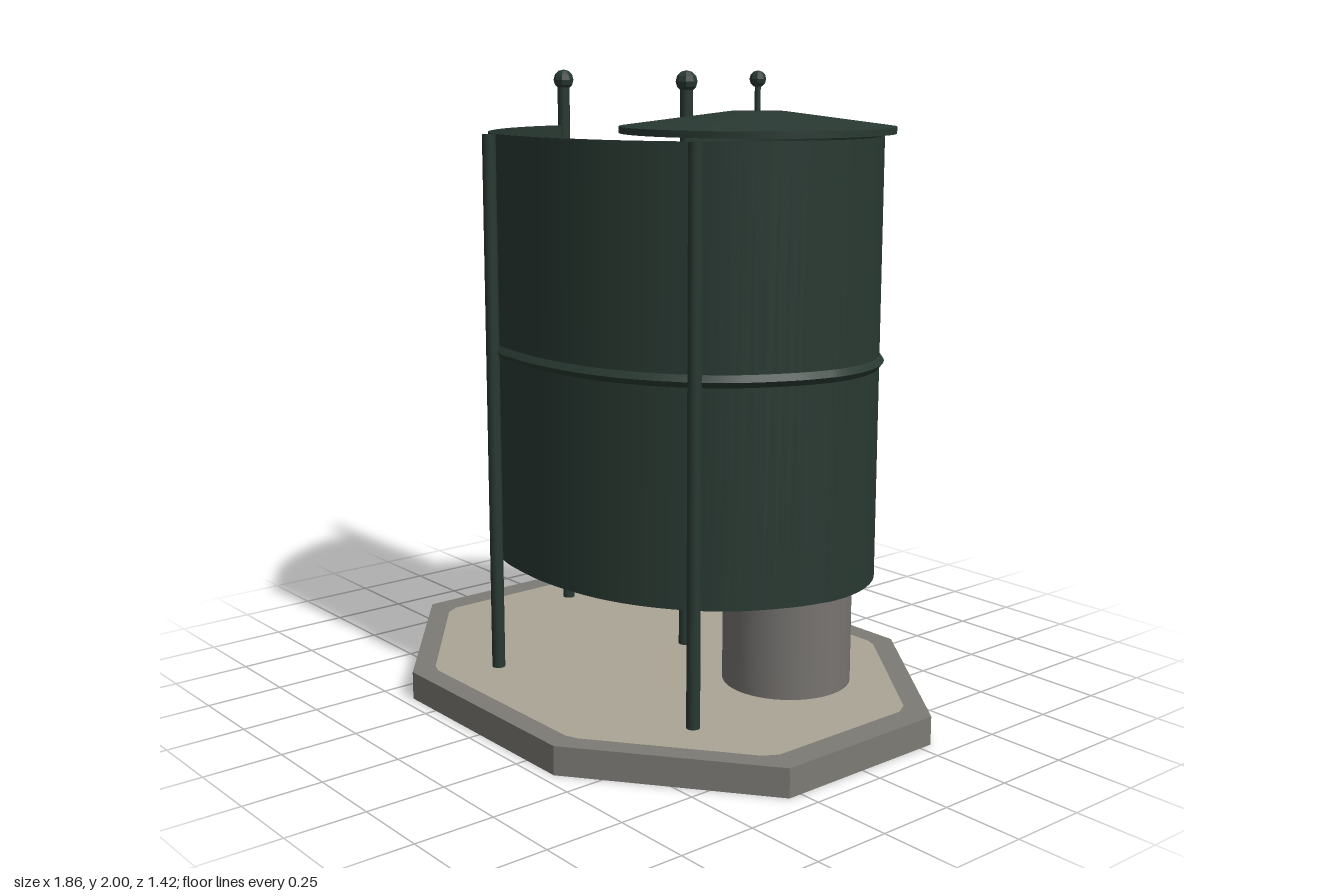
import * as THREE from 'three';

export function createModel() {
  const root = new THREE.Group();
  const material = (name, color, side = THREE.FrontSide) => {
    const m = new THREE.MeshStandardMaterial({ color, side });
    m.name = name;
    return m;
  };
  const green = material('dark green paint', 0x293932);
  const curbGrey = material('curb grey', 0x7d7b75, THREE.DoubleSide);
  const paving = material('tan paving', 0xaba597, THREE.DoubleSide);
  const pillarGrey = material('pillar grey', 0x777471);

  const add = (name, geometry, mat, x = 0, y = 0, z = 0) => {
    const mesh = new THREE.Mesh(geometry, mat);
    mesh.name = name;
    mesh.position.set(x, y, z);
    root.add(mesh);
    return mesh;
  };

  // Octagonal base, hollow underneath: upright sides, a curb ring and the paving
  const V = (x, y) => new THREE.Vector2(x, y);
  const mirrored = (quarter) => [
    ...quarter.map(([x, y]) => V(x, y)),
    ...quarter.map(([x, y]) => V(-x, y)).reverse(),
    ...quarter.map(([x, y]) => V(-x, -y)),
    ...quarter.map(([x, y]) => V(x, -y)).reverse(),
  ];
  const baseHeight = 0.09;
  const outer = mirrored([[0.932, 0.295], [0.385, 0.712]]);
  const inner = mirrored([[0.845, 0.25], [0.82, 0.295], [0.385, 0.625], [0.345, 0.64]]);
  const flat = (shape) => new THREE.ShapeGeometry(shape).rotateX(-Math.PI / 2);
  const curbShape = new THREE.Shape(outer);
  curbShape.holes.push(new THREE.Path(inner));
  add('curbTop', flat(curbShape), curbGrey, 0, baseHeight, 0);
  add('basePaving', flat(new THREE.Shape(inner)), paving, 0, baseHeight, 0);
  outer.forEach((a, i) => {
    const b = outer[(i + 1) % outer.length];
    const side = new THREE.PlaneGeometry(a.distanceTo(b), baseHeight);
    const mesh = add('curbSide', side, curbGrey, (a.x + b.x) / 2, baseHeight / 2, -(a.y + b.y) / 2);
    mesh.rotation.y = Math.atan2(b.y - a.y, b.x - a.x) + Math.PI;
    mesh.rotation.y -= Math.PI;
  });

  // Pillar rising into the round cabin
  add('pillar', new THREE.CylinderGeometry(0.204, 0.204, 0.47, 40), pillarGrey, 0.41, 0.325, -0.19);

  // Plan of the screen's outer face: a wide front sweep, then a tight curl round the back
  const cx = 0.345, cz = -0.1, r = 0.381;
  const curl = (a) => [cx + r * Math.cos(a), cz + r * Math.sin(a)];
  const curlStart = 0.1, curlEnd = -Math.PI + 0.12;
  const sweepPoints = [
    [-0.695, -0.145], [-0.668, 0.01], [-0.583, 0.185], [-0.435, 0.345], [-0.255, 0.442], [-0.1, 0.472],
    [0.06, 0.479], [0.28, 0.444], [0.46, 0.357], [0.598, 0.232], curl(0.41), curl(curlStart),
  ].map(([x, z]) => new THREE.Vector3(x, 0, z));
  const plan = new THREE.CatmullRomCurve3(sweepPoints).getPoints(66);
  for (let i = 1; i <= 48; i++) {
    const [x, z] = curl(THREE.MathUtils.lerp(curlStart, curlEnd, i / 48));
    plan.push(new THREE.Vector3(x, 0, z));
  }

  // Sweeps a closed [outward offset, height] profile along the plan, creased at profile corners
  const sweep = (profile) => {
    const position = [], index = [];
    profile.forEach((a, k) => {
      const b = profile[(k + 1) % profile.length];
      const base = position.length / 3;
      plan.forEach((p, i) => {
        const t = plan[Math.min(i + 1, plan.length - 1)].clone()
          .sub(plan[Math.max(i - 1, 0)]).normalize();
        for (const [off, y] of [a, b]) position.push(p.x - t.z * off, y, p.z + t.x * off);
        if (i > 0) {
          const q = base + 2 * (i - 1);
          index.push(q, q + 2, q + 3, q, q + 3, q + 1);
        }
      });
    });
    const g = new THREE.BufferGeometry();
    g.setAttribute('position', new THREE.Float32BufferAttribute(position, 3));
    g.setIndex(index);
    g.computeVertexNormals();
    return g;
  };
  add('spiralScreen', sweep([[0, 0.447], [0, 1.808], [-0.009, 1.808], [-0.009, 0.447]]), green);
  add('screenBand', sweep([[-0.003, 1.108], [0.014, 1.13], [-0.003, 1.154]]), green);

  // Faceted ball finials
  const ball = (radius) => {
    const g = new THREE.SphereGeometry(radius, 8, 6).toNonIndexed();
    g.computeVertexNormals();
    return g;
  };

  // Hollow posts: tall ones with balls at the screen ends, plain ones along the front
  const post = (name, x, z, top) =>
    add(name, new THREE.CylinderGeometry(0.021, 0.021, top - baseHeight, 12, 1, true), green,
      x, (top + baseHeight) / 2, z);
  [['entrancePost', -0.693], ['innerPost', -0.035]].forEach(([name, x]) => {
    post(name, x, -0.145, 1.95);
    add(name + 'Ball', ball(0.035), green, x, 1.964, -0.145);
  });
  post('frontPostRight', -0.255, 0.465, 1.808);
  post('frontPostLeft', 0.54, 0.314, 1.808);

  // Shallow conical lid with a thin rim and a knob
  const rim = 0.417;
  add('lidRim', new THREE.CylinderGeometry(rim, rim, 0.02, 48), green, cx, 1.826, cz);
  add('lidCone', new THREE.CylinderGeometry(0.085, rim, 0.044, 48), green, cx, 1.858, cz);
  add('lidStem', new THREE.CylinderGeometry(0.009, 0.009, 0.1, 10), green, cx, 1.925, cz);
  add('lidKnob', ball(0.025), green, cx, 1.975, cz);

  return root;
}
